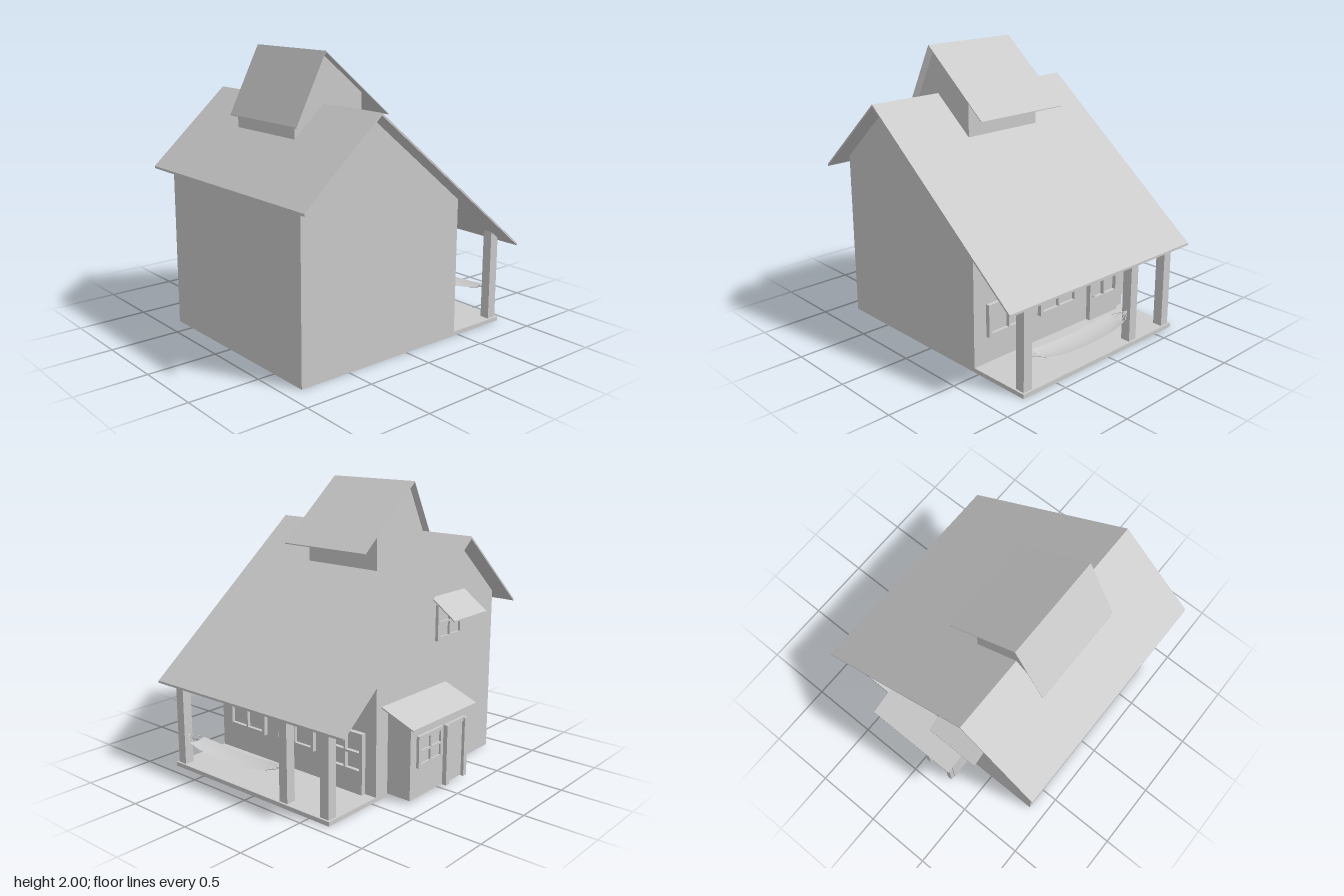
import * as THREE from 'three';

const mat = new THREE.MeshStandardMaterial({ color: 0xcccccc, flatShading: true });
const thin = new THREE.MeshStandardMaterial({ color: 0xcccccc, side: THREE.DoubleSide });

function add(parent, name, geometry, material = mat) {
  const mesh = new THREE.Mesh(geometry, material);
  mesh.name = name;
  parent.add(mesh);
  return mesh;
}

// Box given by its minimum and maximum on each axis
function box(parent, name, [x0, x1], [y0, y1], [z0, z1]) {
  const mesh = add(parent, name, new THREE.BoxGeometry(x1 - x0, y1 - y0, z1 - z0));
  mesh.position.set((x0 + x1) / 2, (y0 + y1) / 2, (z0 + z1) / 2);
  return mesh;
}

// Side profile of (z, y) points pulled along x
function alongX(parent, name, points, x0, x1) {
  const shape = new THREE.Shape(points.map(([z, y]) => new THREE.Vector2(-z, y)));
  const g = new THREE.ExtrudeGeometry(shape, { depth: x1 - x0, bevelEnabled: false });
  return add(parent, name, g.rotateY(Math.PI / 2).translate(x0, 0, 0));
}

// Front profile of (x, y) points pulled along z
function alongZ(parent, name, points, z0, z1) {
  const shape = new THREE.Shape(points.map(([x, y]) => new THREE.Vector2(x, y)));
  const g = new THREE.ExtrudeGeometry(shape, { depth: z1 - z0, bevelEnabled: false });
  return add(parent, name, g.translate(0, 0, z0));
}

// Roof sheet following a profile line, thickened downwards
function sheet(line, t) {
  return [...line, ...line.slice().reverse().map(([a, y]) => [a, y - t])];
}

function rect(target, x, y, w, h) {
  target.moveTo(x, y);
  target.lineTo(x + w, y);
  target.lineTo(x + w, y + h);
  target.lineTo(x, y + h);
  target.closePath();
  return target;
}

// Frame with a grid of panes, centred on x, standing on y = 0, facing +z
function makeWindow(name, w, h, cols, rows, depth, base = 0) {
  const group = new THREE.Group();
  group.name = name;
  const border = 0.025, bar = 0.015;
  const shape = rect(new THREE.Shape(), -w / 2, 0, w, h);
  const pw = (w - 2 * border - (cols - 1) * bar) / cols;
  const ph = (h - base - 2 * border - (rows - 1) * bar) / rows;
  for (let c = 0; c < cols; c++) {
    for (let r = 0; r < rows; r++) {
      shape.holes.push(rect(new THREE.Path(),
        -w / 2 + border + c * (pw + bar), base + border + r * (ph + bar), pw, ph));
    }
  }
  add(group, 'frame', new THREE.ExtrudeGeometry(shape, { depth, bevelEnabled: false }));
  box(group, 'glass', [-w / 2 + 0.01, w / 2 - 0.01], [0.01, h - 0.01], [0, 0.006]);
  return group;
}

function place(parent, object, x, y, z, turn) {
  object.position.set(x, y, z);
  object.rotation.y = turn;
  parent.add(object);
}

// Hammock bed hung by cords between two posts
function makeHammock(x0, x1, z) {
  const group = new THREE.Group();
  group.name = 'hammock';
  const mid = (x0 + x1) / 2, half = 0.375, segX = 24, segZ = 8;
  const height = (u, v) => 0.19 + 0.03 * u * u + 0.012 * v * v;
  const width = u => 0.09 - 0.025 * u ** 4;
  const bed = new THREE.PlaneGeometry(2, 2, segX, segZ);
  const p = bed.attributes.position;
  for (let i = 0; i < p.count; i++) {
    const u = p.getX(i), v = p.getY(i);
    p.setXYZ(i, mid + u * half, height(u, v), z - v * width(u));
  }
  bed.computeVertexNormals();
  add(group, 'hammockBed', bed, thin);
  for (const side of [-1, 1]) {
    const knot = new THREE.Vector3(side < 0 ? x0 : x1, 0.25, z);
    for (let k = -2; k <= 2; k++) {
      const v = k / 2;
      const end = new THREE.Vector3(mid + side * half, height(1, v), z - v * width(1));
      add(group, 'cord', new THREE.TubeGeometry(new THREE.LineCurve3(knot, end), 1, 0.003, 5));
    }
  }
  return group;
}

export function createModel() {
  const house = new THREE.Group();
  house.name = 'house';
  const back = Math.PI, side = -Math.PI / 2;

  // Main body and long rear-sloping roof
  alongX(house, 'walls',
    [[0.88, 0], [0.88, 1.195], [0.37, 1.652], [-0.46, 0.985], [-0.46, 0]], -0.67, 0.79);
  alongX(house, 'mainRoof',
    sheet([[0.955, 1.145], [0.37, 1.665], [-0.94, 0.615]], 0.016), -0.805, 0.925);

  // Raised roof room
  alongX(house, 'dormerWalls',
    [[0.605, 1.43], [0.605, 1.575], [0.395, 1.99], [0.05, 1.71], [0.05, 1.38]], -0.255, 0.375);
  alongX(house, 'dormerRoof',
    sheet([[0.63, 1.54], [0.395, 2], [-0.145, 1.557]], 0.007), -0.31, 0.43);

  // Porch
  box(house, 'porchFloor', [-0.67, 0.79], [0, 0.03], [-0.92, -0.46]);
  for (const x of [0.74, -0.265, -0.62]) {
    alongX(house, 'porchPost',
      [[-0.835, 0.03], [-0.835, 0.69], [-0.905, 0.632], [-0.905, 0.03]], x - 0.035, x + 0.035);
  }
  house.add(makeHammock(-0.23, 0.705, -0.875));

  // Porch windows and glazed door
  for (const x of [0.505, 0.035]) {
    place(house, makeWindow('porchWindow', 0.36, 0.23, 2, 1, 0.03), x, 0.22, -0.46, back);
  }
  place(house, makeWindow('porchDoor', 0.3, 0.425, 2, 2, 0.035, 0.14), -0.43, 0.03, -0.46, back);
  box(house, 'porchDoorHandle', [-0.325, -0.305], [0.205, 0.22], [-0.507, -0.495]);

  // Side lean-to with its own roof
  alongZ(house, 'annexWalls',
    [[-0.855, 0.02], [-0.66, 0.02], [-0.66, 0.632], [-0.855, 0.556]], -0.34, 0.28);
  alongZ(house, 'annexRoof', sheet([[-0.925, 0.542], [-0.665, 0.643]], 0.009), -0.41, 0.31);
  place(house, makeWindow('annexWindow', 0.27, 0.22, 2, 2, 0.02), -0.855, 0.23, -0.14, side);

  // Lean-to door with jambs and lintel
  box(house, 'annexDoor', [-0.865, -0.85], [0.02, 0.43], [0.05, 0.25]);
  for (const z of [0.045, 0.255]) {
    box(house, 'doorJamb', [-0.887, -0.85], [0.015, 0.44], [z - 0.018, z + 0.018]);
  }
  box(house, 'doorLintel', [-0.875, -0.85], [0.415, 0.445], [0.03, 0.27]);

  // Upper side window under a sloping awning
  place(house, makeWindow('upperWindow', 0.29, 0.25, 2, 2, 0.022), -0.67, 0.96, 0.315, side);
  alongZ(house, 'awning', sheet([[-0.855, 1.138], [-0.665, 1.275]], 0.01), 0.12, 0.51);

  return house;
}
